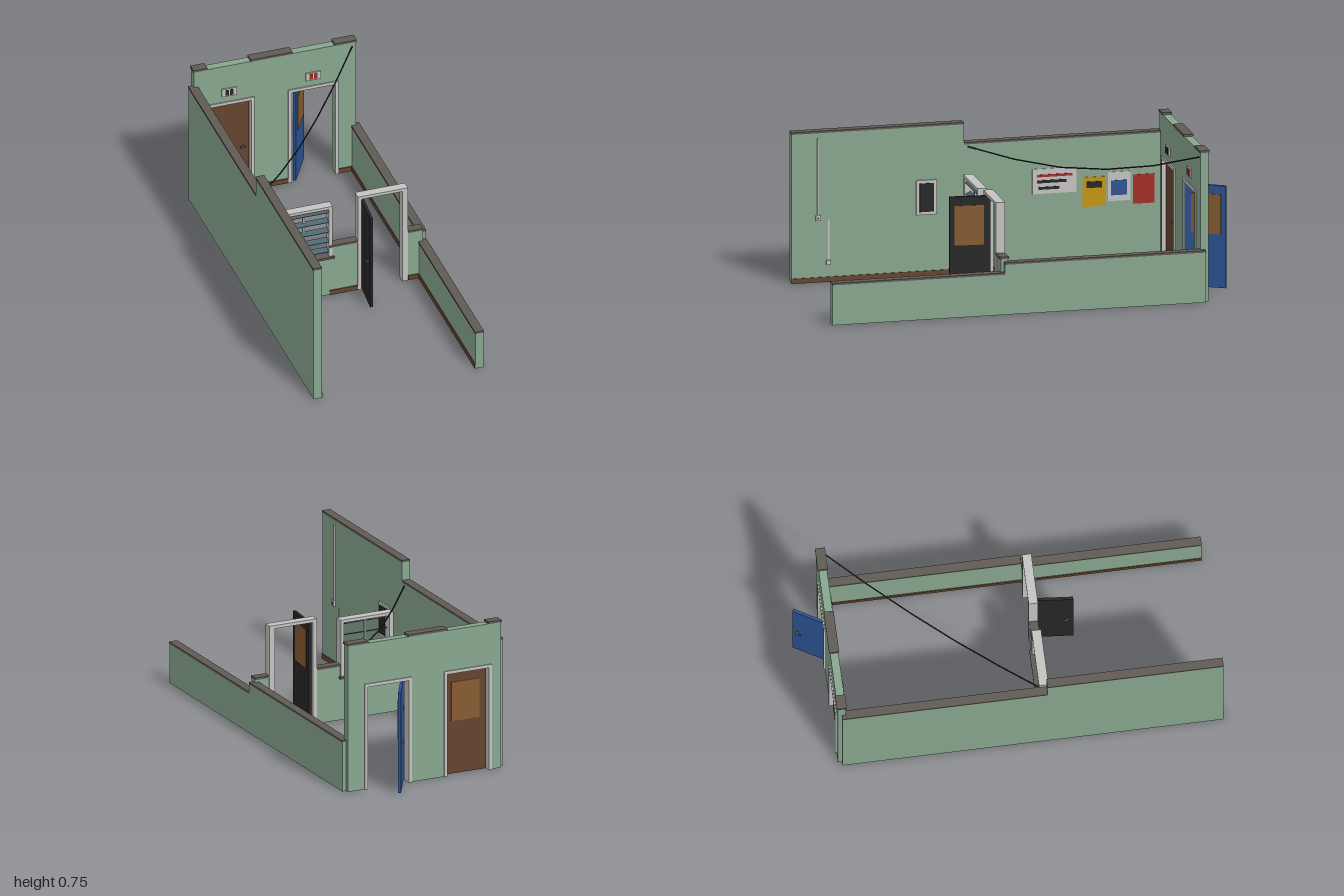
import * as THREE from 'three';

const mat = (name, color, side = THREE.FrontSide) => {
  const m = new THREE.MeshStandardMaterial({ color, side });
  m.name = name;
  return m;
};

export function createModel() {
  const root = new THREE.Group();
  root.name = 'corridorSet';
  const green = mat('wallGreen', 0x87a68e);
  const white = mat('paleGrey', 0xc4c3c1);
  const stone = mat('copingGrey', 0x5f5a53);
  const brown = mat('darkBrown', 0x63442e);
  const tan = mat('panelBrown', 0x855b32);
  const blue = mat('doorBlue', 0x2c5494);
  const black = mat('charcoal', 0x262627);
  const red = mat('signRed', 0xa52c25);
  const yellow = mat('posterYellow', 0xc2950f);
  const steel = mat('louvreSteel', 0x45606b);

  // Box given by its lower and upper bounds on each axis
  const box = (name, m, x0, x1, y0, y1, z0, z1, parent = root) => {
    const mesh = new THREE.Mesh(new THREE.BoxGeometry(x1 - x0, y1 - y0, z1 - z0), m);
    mesh.position.set((x0 + x1) / 2, (y0 + y1) / 2, (z0 + z1) / 2);
    mesh.name = name;
    parent.add(mesh);
    return mesh;
  };
  const group = (name) => {
    const g = new THREE.Group();
    g.name = name;
    root.add(g);
    return g;
  };

  // Side walls: each is a front and a rear stretch of its own height, with coping
  for (const [side, frontH, rearH] of [[-1, 0.737, 0.637], [1, 0.198, 0.247]]) {
    const g = group(side < 0 ? 'rightSideWall' : 'leftSideWall');
    const x0 = side * 0.41 - 0.02, x1 = x0 + 0.04;
    for (const [h, z0, z1] of [[frontH, 0.15, 1], [rearH, -0.84, 0.15]]) {
      box('sideWall', green, x0, x1, 0, h, z0, z1, g);
      box('sideCoping', stone, x0 - 0.002, x1 + 0.002, h, h + 0.01, z0, z1, g);
    }
    const inner = side * 0.39;
    for (const [z0, z1] of [[-0.82, 0.13], [0.165, 1]])
      box('sideSkirting', brown, Math.min(inner, inner - side * 0.004), Math.max(inner, inner - side * 0.004), 0, 0.025, z0, z1, g);
  }

  // Back wall: piers, and lintels over the two doorways
  const back = group('backWall');
  const piers = [[-0.41, -0.345], [-0.12, 0.085], [0.305, 0.41]];
  for (const [x0, x1] of piers) {
    box('backPier', green, x0, x1, 0, 0.735, -0.86, -0.82, back);
    box('backCoping', stone, x0 - 0.003, x1 + 0.003, 0.735, 0.746, -0.864, -0.816, back);
  }
  for (const [x0, x1] of [[-0.345, -0.12], [0.085, 0.305]])
    box('backLintel', green, x0, x1, 0.515, 0.735, -0.86, -0.82, back);
  for (const [x0, x1] of [[-0.39, -0.36], [-0.105, 0.068], [0.32, 0.39]])
    box('backSkirting', brown, x0, x1, 0, 0.025, -0.82, -0.815, back);

  // Middle partition: low piers, wall under the window, coping and skirting
  const part = group('partition');
  for (const [x0, x1, c0, c1] of [[-0.39, -0.33, -0.39, -0.33], [-0.05, 0.08, -0.062, 0.085], [0.333, 0.41, 0.315, 0.41]]) {
    box('partitionPier', green, x0, x1, 0, 0.27, 0.13, 0.165, part);
    box('partitionCoping', stone, c0, c1, 0.27, 0.281, 0.126, 0.17, part);
  }
  box('wallUnderWindow', green, -0.33, -0.05, 0, 0.21, 0.13, 0.165, part);
  for (const [x0, x1] of [[-0.39, -0.305], [-0.063, 0.08], [0.335, 0.39]])
    box('partitionSkirting', brown, x0, x1, 0, 0.025, 0.165, 0.17, part);

  // Door frames
  const frame = (name, x0, x1, jl, jr, z0, z1) => {
    const g = group(name);
    box('jamb', white, x0, x0 + jl, 0, 0.515, z0, z1, g);
    box('jamb', white, x1 - jr, x1, 0, 0.515, z0, z1, g);
    box('head', white, x0, x1, 0.515, 0.531, z0, z1, g);
  };
  frame('brownDoorFrame', -0.36, -0.105, 0.016, 0.016, -0.866, -0.814);
  frame('blueDoorFrame', 0.068, 0.321, 0.018, 0.016, -0.866, -0.814);
  frame('partitionDoorFrame', 0.08, 0.333, 0.02, 0.028, 0.125, 0.17);

  // Doors: leaf, panel on one face, handle on the other
  const door = (name, m, x, z, degrees, width, face) => {
    const g = group(name);
    g.position.set(x, 0, z);
    g.rotation.y = THREE.MathUtils.degToRad(degrees);
    box('doorLeaf', m, 0, width, 0.005, 0.51, -0.007, 0.007, g);
    const p = face * 0.0085;
    box('doorPanel', tan, width * 0.16, width * 0.88, 0.27, 0.466, p - 0.002, p + 0.002, g);
    const h = -face * 0.012;
    box('handleStem', stone, width - 0.033, width - 0.023, 0.245, 0.255, h - 0.006, h + 0.006, g);
    const k = -face * 0.019;
    box('handleLever', stone, width - 0.05, width - 0.022, 0.246, 0.255, k - 0.003, k + 0.003, g);
  };
  door('brownDoor', brown, -0.335, -0.84, 0, 0.21, -1);
  door('blueDoor', blue, 0.1, -0.82, 60, 0.205, 1);
  door('blackDoor', black, 0.108, 0.142, -95, 0.2, -1);

  // Louvred window with sill
  const win = group('window');
  box('windowJamb', white, -0.33, -0.308, 0.22, 0.505, 0.122, 0.168, win);
  box('windowJamb', white, -0.065, -0.047, 0.22, 0.505, 0.122, 0.168, win);
  box('windowHead', white, -0.308, -0.065, 0.49, 0.505, 0.122, 0.168, win);
  box('windowMullion', white, -0.191, -0.181, 0.22, 0.49, 0.138, 0.148, win);
  box('windowSill', stone, -0.332, -0.04, 0.21, 0.221, 0.112, 0.178, win);
  for (let i = 0; i < 5; i++) {
    const y = 0.251 + i * 0.0563;
    const slat = box('louvre', steel, -0.302, -0.066, y - 0.002, y + 0.002, 0.136, 0.166, win);
    slat.rotation.x = 0.42;
  }

  // Flat notices on the inside of the tall side wall; later layers stand further out
  const notices = group('notices');
  const plate = (name, m, z0, z1, y0, y1, layer = 0) => {
    const x = -0.39 + layer * 0.003;
    box(name, m, x, x + 0.003, y0, y1, z0, z1, notices);
  };
  plate('noticeBoard', white, -0.405, -0.187, 0.37, 0.493);
  plate('noticeLine', red, -0.385, -0.21, 0.453, 0.465, 1);
  plate('noticeLine', black, -0.355, -0.213, 0.423, 0.437, 1);
  plate('noticeLine', black, -0.32, -0.217, 0.391, 0.404, 1);
  plate('yellowPoster', yellow, -0.545, -0.435, 0.292, 0.438);
  plate('posterBlock', black, -0.53, -0.453, 0.385, 0.416, 1);
  plate('whitePoster', white, -0.67, -0.56, 0.313, 0.457);
  plate('posterBlock', blue, -0.652, -0.575, 0.342, 0.415, 1);
  plate('redPoster', red, -0.79, -0.683, 0.293, 0.437);

  // Wall cabinet, and conduit with switch and socket
  box('cabinetBody', white, -0.39, -0.382, 0.303, 0.474, 0.285, 0.385);
  box('cabinetDoor', black, -0.382, -0.378, 0.318, 0.459, 0.3, 0.37);
  const conduit = group('conduit');
  box('upperConduit', white, -0.39, -0.384, 0.33, 0.71, 0.867, 0.873, conduit);
  box('switchBox', white, -0.39, -0.38, 0.305, 0.332, 0.858, 0.882, conduit);
  box('switchButton', black, -0.38, -0.378, 0.313, 0.324, 0.866, 0.874, conduit);
  box('lowerConduit', white, -0.39, -0.384, 0.1, 0.308, 0.815, 0.821, conduit);
  box('socketBox', white, -0.39, -0.38, 0.085, 0.108, 0.807, 0.829, conduit);

  // Signs above the back doors
  for (const [cx, m] of [[-0.233, black], [0.193, red]]) {
    const g = group('doorSign');
    box('signPlate', white, cx - 0.037, cx + 0.038, 0.565, 0.608, -0.82, -0.813, g);
    for (const s of [-1, 1])
      box('signSquare', m, cx + s * 0.0115 - 0.0085, cx + s * 0.0115 + 0.0085, 0.571, 0.602, -0.813, -0.811, g);
  }

  // Sagging cable strung diagonally between the walls
  const heights = [0.625, 0.59, 0.577, 0.595, 0.64, 0.711];
  const path = new THREE.CurvePath();
  const pts = heights.map((y, i) => new THREE.Vector3(-0.392 + 0.784 * i / 5, y, 0.13 - 0.95 * i / 5));
  for (let i = 0; i < 5; i++) path.add(new THREE.LineCurve3(pts[i], pts[i + 1]));
  const cable = new THREE.Mesh(new THREE.TubeGeometry(path, 40, 0.0035, 6), black);
  cable.name = 'cable';
  root.add(cable);

  return root;
}
